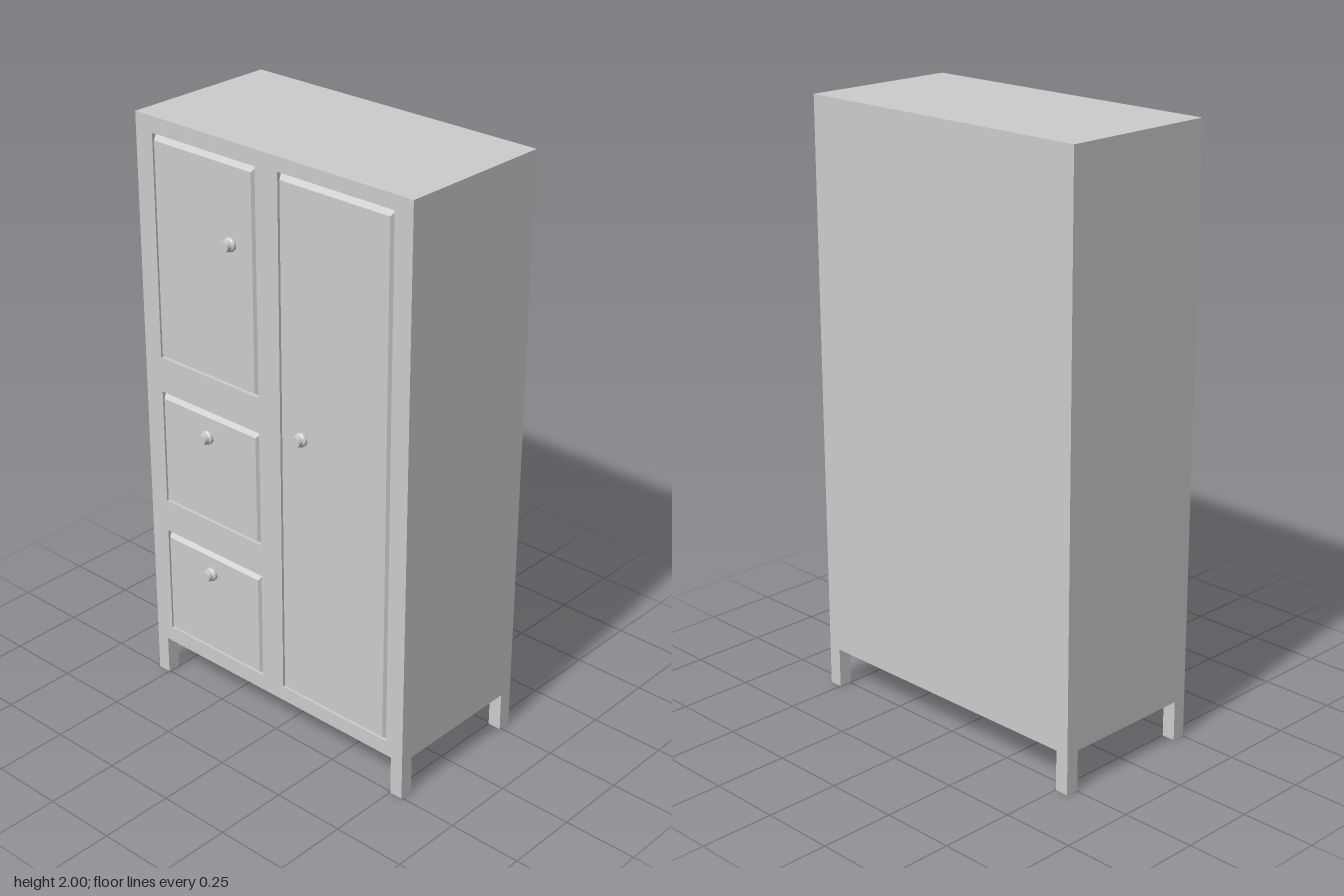
import * as THREE from 'three';

const material = new THREE.MeshStandardMaterial({ color: 0xcccccc });
const LEFT = -0.547, RIGHT = 0.547, BACK = -0.29, FRONT = 0.254;
const BOTTOM = 0.135, TOP = 2, RECESS = 0.236, PANEL_FRONT = 0.258;

// Openings in the front: x and y range, knob position
const openings = [
  { name: 'upperDoor', x0: -0.477, x1: -0.05, y0: 1.203, y1: 1.947, knob: [-0.15, 1.68] },
  { name: 'middleDrawer', x0: -0.477, x1: -0.05, y0: 0.683, y1: 1.082, knob: [-0.27, 0.993] },
  { name: 'lowerDrawer', x0: -0.477, x1: -0.05, y0: 0.19, y1: 0.57, knob: [-0.27, 0.49] },
  { name: 'tallDoor', x0: 0.04, x1: 0.48, y0: 0.187, y1: 1.953, knob: [0.133, 1.128] },
];

function addMesh(parent, name, geometry) {
  const mesh = new THREE.Mesh(geometry, material);
  mesh.name = name;
  parent.add(mesh);
  return mesh;
}

function boxBetween(x0, x1, y0, y1, z0, z1) {
  return new THREE.BoxGeometry(x1 - x0, y1 - y0, z1 - z0)
    .translate((x0 + x1) / 2, (y0 + y1) / 2, (z0 + z1) / 2);
}

function tracePath(path, x0, x1, y0, y1) {
  path.moveTo(x0, y0);
  path.lineTo(x1, y0);
  path.lineTo(x1, y1);
  path.lineTo(x0, y1);
  path.closePath();
  return path;
}

// Panel whose front face is inset, leaving a V groove against the frame
function panelGeometry({ x0, x1, y0, y1 }) {
  const geometry = boxBetween(x0, x1, y0, y1, RECESS, PANEL_FRONT).toNonIndexed();
  const p = geometry.attributes.position;
  const midX = (x0 + x1) / 2, midY = (y0 + y1) / 2, midZ = (RECESS + PANEL_FRONT) / 2;
  for (let i = 0; i < p.count; i++) {
    if (p.getZ(i) < midZ) continue;
    p.setX(i, p.getX(i) + (p.getX(i) < midX ? 0.012 : -0.012));
    p.setY(i, p.getY(i) + (p.getY(i) < midY ? 0.012 : -0.02));
  }
  geometry.computeVertexNormals();
  return geometry;
}

// Turned knob: flange, short neck and flat head
function knobGeometry() {
  const profile = [
    [0.023, 0], [0.023, 0.008], [0.019, 0.013], [0.016, 0.014],
    [0.019, 0.016], [0.018, 0.032], [0, 0.032],
  ].map(([r, h]) => new THREE.Vector2(r, h));
  const geometry = new THREE.LatheGeometry(profile, 20).toNonIndexed();
  geometry.computeVertexNormals();
  return geometry.rotateX(Math.PI / 2);
}

export function createModel() {
  const group = new THREE.Group();
  group.name = 'cabinet';

  // Carcass
  addMesh(group, 'carcass', boxBetween(LEFT, RIGHT, BOTTOM, TOP, BACK, RECESS));

  // Front frame with openings
  const frame = tracePath(new THREE.Shape(), LEFT, RIGHT, BOTTOM, TOP);
  for (const o of openings) {
    frame.holes.push(tracePath(new THREE.Path(), o.x0, o.x1, o.y0, o.y1));
  }
  addMesh(group, 'frontFrame', new THREE.ExtrudeGeometry(frame, {
    depth: FRONT - RECESS, bevelEnabled: false,
  }).translate(0, 0, RECESS));

  // Doors and drawers with their knobs
  const knob = knobGeometry();
  for (const o of openings) {
    const part = new THREE.Group();
    part.name = o.name;
    addMesh(part, o.name + 'Panel', panelGeometry(o));
    addMesh(part, o.name + 'Knob', knob).position.set(o.knob[0], o.knob[1], PANEL_FRONT);
    group.add(part);
  }

  // Four square legs flush with the corners
  const size = 0.046;
  for (const [side, x] of [['right', LEFT], ['left', RIGHT - size]]) {
    for (const [end, z] of [['Back', BACK], ['Front', FRONT - size]]) {
      addMesh(group, side + end + 'Leg', boxBetween(x, x + size, 0, BOTTOM, z, z + size));
    }
  }
  return group;
}
